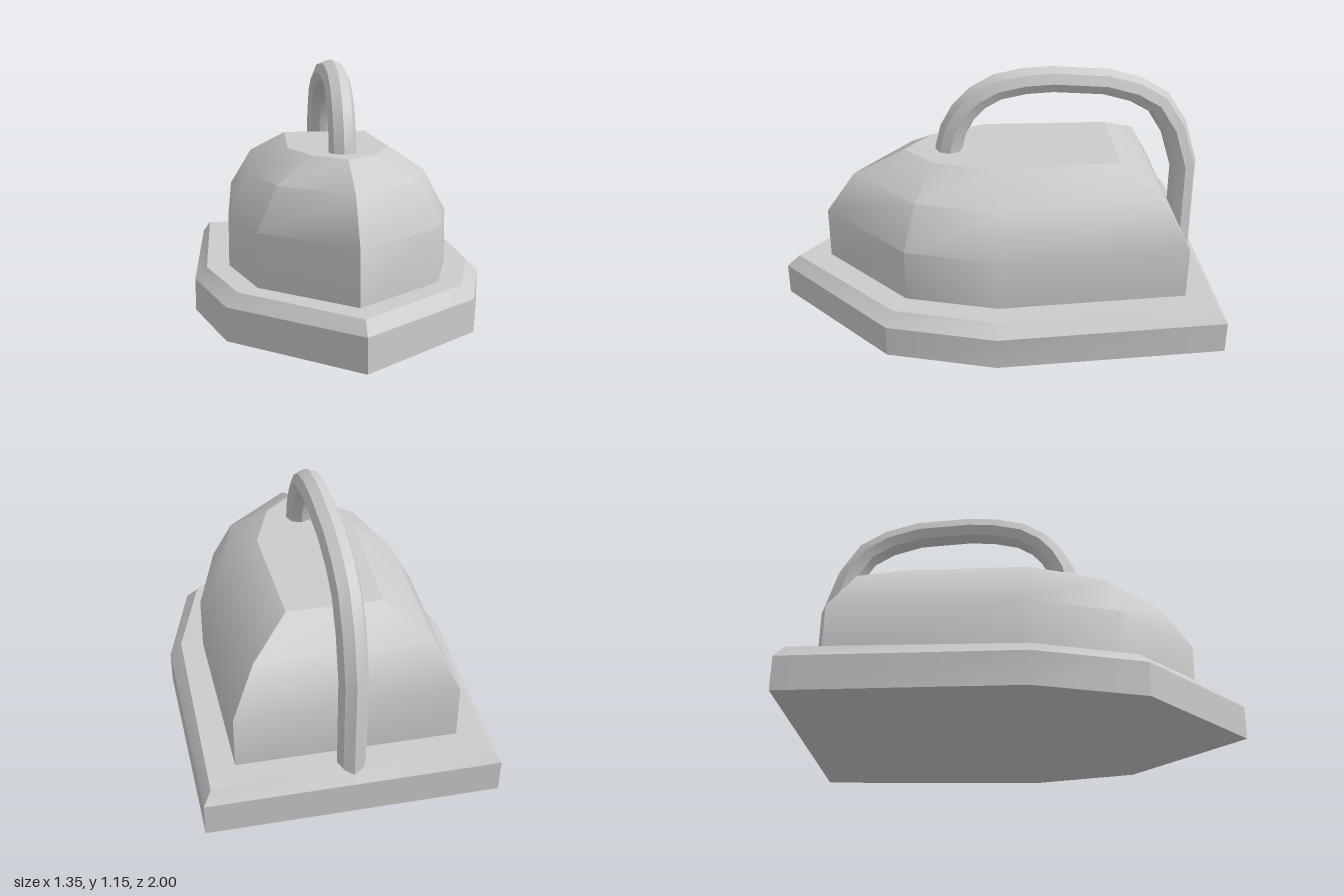
import * as THREE from 'three';
import { mergeGeometries, toCreasedNormals } from 'three/addons/utils/BufferGeometryUtils.js';

// Turns a list of triangle corners into geometry with sharp edges past the crease angle
function fromCorners(corners, crease) {
  const geometry = new THREE.BufferGeometry().setFromPoints(corners);
  geometry.computeVertexNormals();
  return toCreasedNormals(geometry, crease);
}

// Skins a stack of closed rings and closes both ends with flat caps
function loft(rings, crease) {
  const sides = [], caps = [];
  const n = rings[0].length;
  for (let i = 0; i < rings.length - 1; i++) {
    for (let j = 0; j < n; j++) {
      const k = (j + 1) % n;
      const [a, b, c, d] = [rings[i][j], rings[i][k], rings[i + 1][k], rings[i + 1][j]];
      sides.push(a, b, c, a, c, d);
    }
  }
  const addCap = (ring, flip) => {
    const centre = ring.reduce((s, p) => s.add(p), new THREE.Vector3()).divideScalar(n);
    for (let j = 0; j < n; j++) {
      const a = ring[j], b = ring[(j + 1) % n];
      caps.push(centre, flip ? b : a, flip ? a : b);
    }
  };
  addCap(rings[0], true);
  addCap(rings.at(-1), false);
  return mergeGeometries([fromCorners(sides, crease), fromCorners(caps, crease)]);
}

// Shield outline at height y: front tip, shoulder, widest point, back corner, back centre
function shield(y, tip, shoulder, wide, corner, backZ) {
  const half = [shoulder, wide, corner];
  const left = half.map(([x, z]) => new THREE.Vector3(x, y, z));
  const right = half.map(([x, z]) => new THREE.Vector3(-x, y, z)).reverse();
  return [new THREE.Vector3(0, y, tip), ...left, new THREE.Vector3(0, y, backZ), ...right];
}

// Octagonal rings along a path of [z, y] points in the middle plane
function tubeRings(path, radius) {
  const points = path.map(([z, y]) => new THREE.Vector3(0, y, z));
  const side = new THREE.Vector3(1, 0, 0);
  return points.map((p, i) => {
    const before = points[Math.max(i - 1, 0)];
    const after = points[Math.min(i + 1, points.length - 1)];
    const inDir = p.clone().sub(before).normalize();
    const outDir = after.clone().sub(p).normalize();
    const out = side.clone().cross(inDir.add(outDir).normalize());
    return Array.from({ length: 8 }, (_, j) => {
      const t = j * Math.PI / 4;
      return p.clone()
        .addScaledVector(out, radius * Math.cos(t))
        .addScaledVector(side, radius * Math.sin(t));
    });
  });
}

export function createModel() {
  const group = new THREE.Group();
  const material = new THREE.MeshStandardMaterial({ color: 0xcccccc });
  const add = (name, geometry) => {
    const mesh = new THREE.Mesh(geometry, material);
    mesh.name = name;
    group.add(mesh);
  };

  // Shield-shaped base plate with a bevelled upper edge
  const plate = y => shield(y, 1, [0.54, 0.525], [0.675, 0.04], [0.64, -1], -1);
  add('basePlate', loft([
    plate(0),
    plate(0.15),
    shield(0.205, 0.94, [0.49, 0.49], [0.62, 0.04], [0.605, -0.965], -0.95),
  ], 0.5));

  // Domed body with upright walls, two sloping bands and a flat top
  const wall = y => shield(y, 0.785, [0.4, 0.43], [0.515, 0.02], [0.485, -0.84], -0.84);
  add('body', loft([
    wall(0.19),
    wall(0.45),
    shield(0.645, 0.65, [0.31, 0.375], [0.41, 0.02], [0.38, -0.735], -0.735),
    shield(0.76, 0.41, [0.145, 0.28], [0.235, 0.02], [0.21, -0.56], -0.56),
  ], 0.62));

  // Arched handle from the top of the body down to the back of the plate
  add('handle', loft(tubeRings([
    [0.215, 0.7], [0.205, 0.76], [0.183, 0.855], [0.137, 0.94], [0.072, 1.008],
    [-0.018, 1.058], [-0.143, 1.083], [-0.27, 1.088], [-0.515, 1.067], [-0.66, 1.022],
    [-0.765, 0.957], [-0.845, 0.83], [-0.906, 0.635], [-0.91, 0.17],
  ], 0.063), 0.65));

  return group;
}
